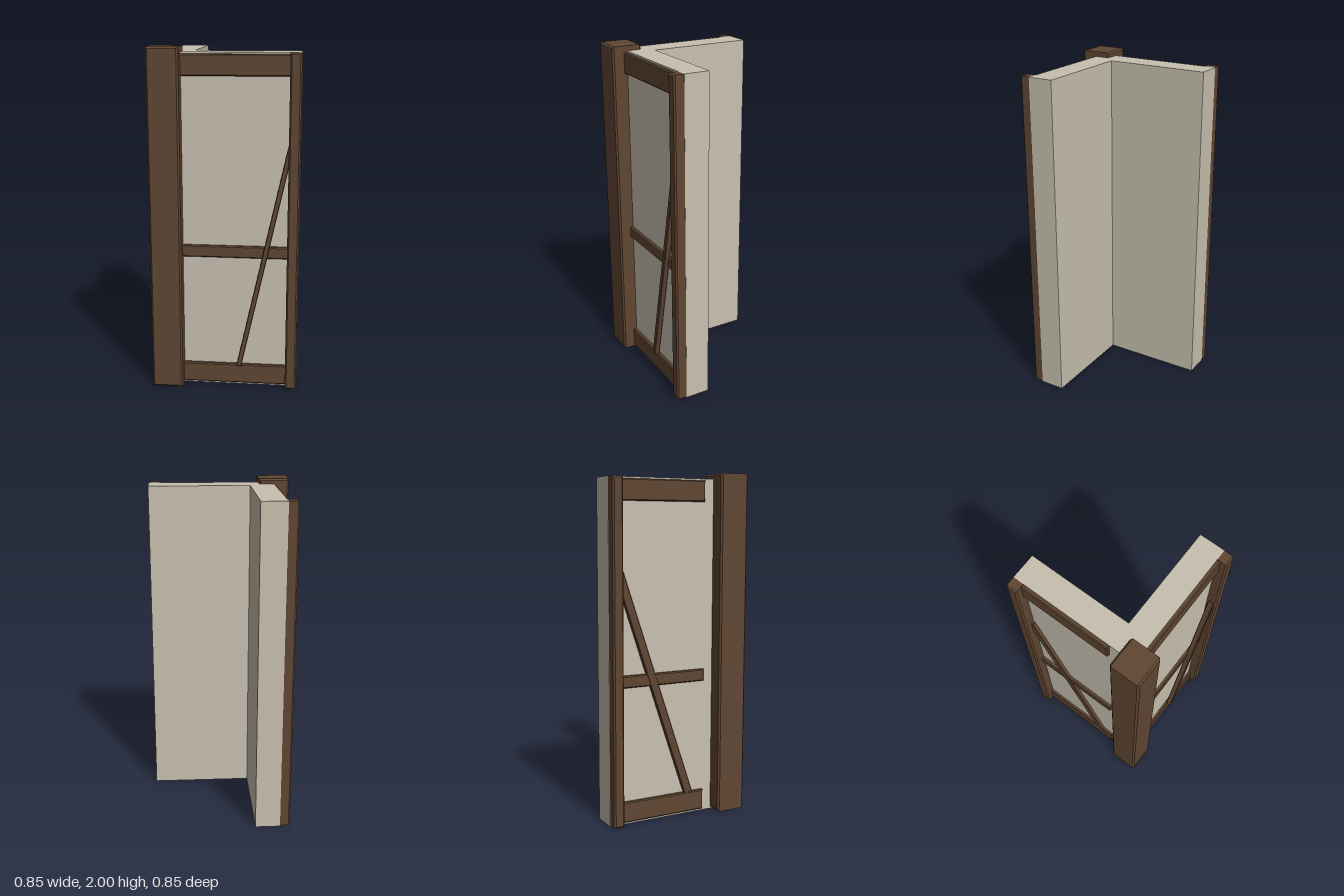
import * as THREE from 'three';

const wood = new THREE.MeshStandardMaterial({ color: 0x604632 });
const plaster = new THREE.MeshStandardMaterial({ color: 0xc8c0b0 });

// Box with chamfered edges, centred on its origin
function chamferBox(w, h, d, c) {
  const x = w / 2 - c, y = h / 2 - c;
  const shape = new THREE.Shape([
    new THREE.Vector2(-x, -y), new THREE.Vector2(x, -y),
    new THREE.Vector2(x, y), new THREE.Vector2(-x, y),
  ]);
  const g = new THREE.ExtrudeGeometry(shape, {
    depth: d - 2 * c, bevelEnabled: true, bevelThickness: c, bevelSize: c, bevelSegments: 1,
  });
  return g.translate(0, 0, c - d / 2);
}

// Timber given by its lower and upper corner
function timber(name, [x0, y0, z0], [x1, y1, z1], c) {
  const mesh = new THREE.Mesh(chamferBox(x1 - x0, y1 - y0, z1 - z0, c), wood);
  mesh.position.set((x0 + x1) / 2, (y0 + y1) / 2, (z0 + z1) / 2);
  mesh.name = name;
  return mesh;
}

// Sloping timber between two points of a wall face, z0..z1 thick
function brace(name, [ax, ay], [bx, by], width, z0, z1) {
  const mesh = new THREE.Mesh(
    chamferBox(width, Math.hypot(bx - ax, by - ay), z1 - z0, 0.004), wood);
  mesh.position.set((ax + bx) / 2, (ay + by) / 2, (z0 + z1) / 2);
  mesh.rotation.z = -Math.atan2(bx - ax, by - ay);
  mesh.name = name;
  return mesh;
}

// End post and three rails of a wall facing +z; railStart is the end near the corner
function wallFrame(name, railStart) {
  const frame = new THREE.Group();
  frame.name = name;
  frame.add(timber('endPost', [0.36, 0.005, 0.325], [0.424, 1.97, 0.395], 0.009));
  const rails = [['bottomRail', 0.015, 0.135], ['middleRail', 0.8, 0.87], ['topRail', 1.84, 1.96]];
  for (const [part, low, high] of rails) {
    frame.add(timber(part, [railStart, low, 0.315], [0.37, high, 0.355], 0.006));
  }
  return frame;
}

export function createModel() {
  const model = new THREE.Group();
  model.name = 'timberFramedCorner';

  // L-shaped plaster wall, drawn in plan and raised
  const plan = new THREE.Shape([
    [-0.335, -0.335], [0.425, -0.335], [0.425, -0.185],
    [-0.185, -0.185], [-0.185, 0.425], [-0.335, 0.425],
  ].map(([x, y]) => new THREE.Vector2(x, y)));
  const wallGeometry = new THREE.ExtrudeGeometry(plan, { depth: 1.97, bevelEnabled: false });
  const wall = new THREE.Mesh(wallGeometry.rotateX(-Math.PI / 2), plaster);
  wall.name = 'cornerWall';
  model.add(wall);

  // Heavy corner post
  model.add(timber('cornerPost', [-0.425, 0.005, 0.245], [-0.245, 2, 0.425], 0.01));

  // Front frame, with its brace standing proud of the rails
  const front = wallFrame('frontFrame', -0.26);
  front.add(brace('brace', [0.085, 0.135], [0.372, 1.455], 0.03, 0.345, 0.38));
  model.add(front);

  // Side frame, turned to face -x: local x runs towards the back
  const side = wallFrame('sideFrame', -0.18);
  side.add(brace('brace', [-0.08, 0.13], [0.372, 1.46], 0.05, 0.32, 0.357));
  // A quarter turn takes (x, z) to (-z, x), so the frame is mirrored along its length
  const mirror = new THREE.Matrix4().makeScale(-1, 1, 1);
  side.children.forEach((mesh) => {
    mesh.position.x *= -1;
    mesh.rotation.z *= -1;
  });
  side.rotation.y = -Math.PI / 2;
  model.add(side);

  return model;
}
